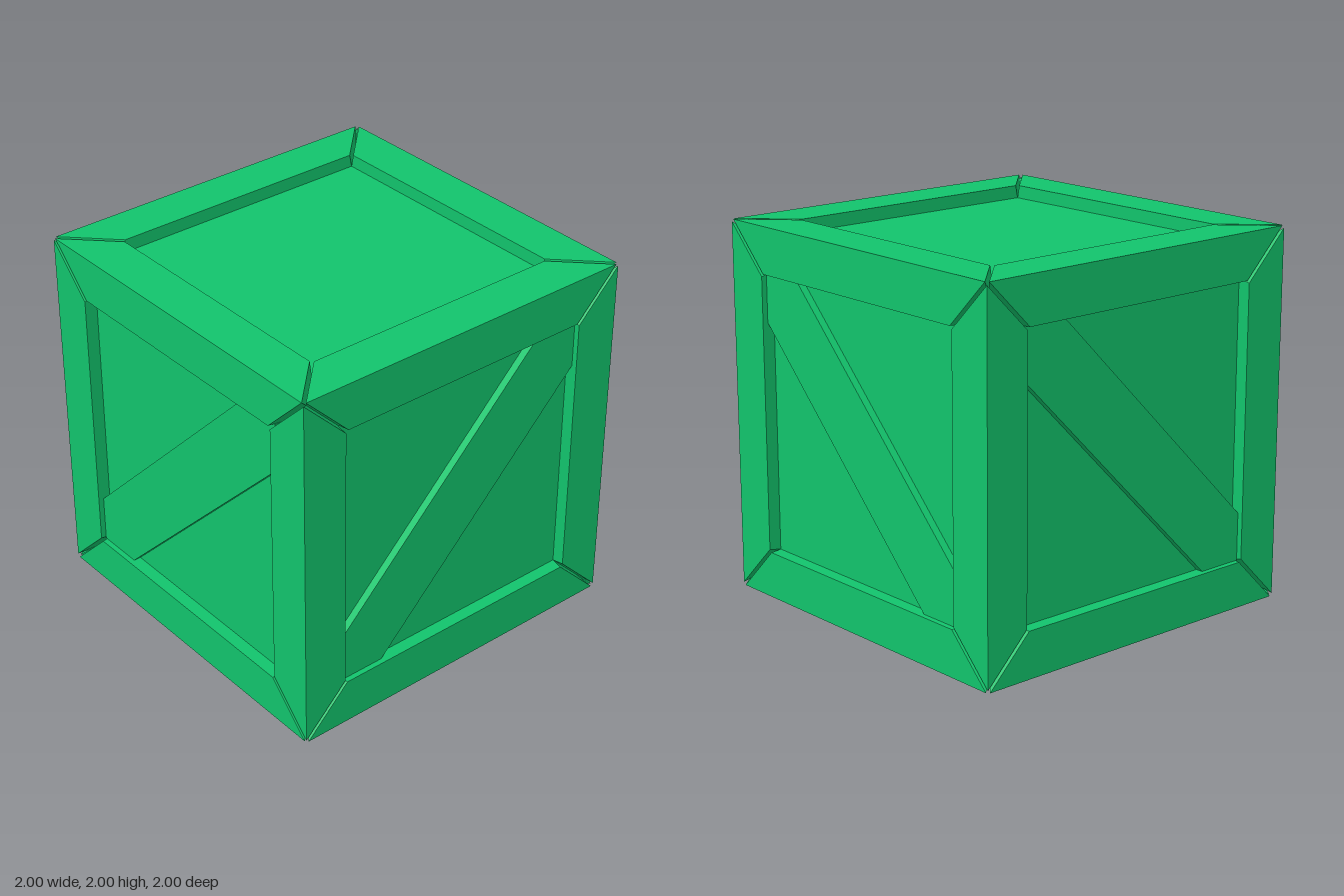
import * as THREE from 'three';

const HALF = 1;        // half the crate size
const RIM = 0.75;      // inner edge of the frame
const DEPTH = 0.07;    // frame height above the panels
const BRACE = 0.04;    // brace thickness
const GAP = 0.014;     // half width of the mitre grooves

// Mitred frame plank along the top edge of a face that looks towards +z
function plankGeometry() {
  const geo = new THREE.BoxGeometry(2, 2, 2);
  const p = geo.attributes.position;
  for (let i = 0; i < p.count; i++) {
    const top = p.getZ(i) > 0;
    const z = top ? HALF : HALF - DEPTH;
    const y = p.getY(i) > 0 ? z : RIM;
    const x = top ? y - GAP : y; // ends lean back to leave a V groove
    p.setXYZ(i, Math.sign(p.getX(i)) * x, y, z);
  }
  geo.computeVertexNormals();
  return geo;
}

// Diagonal board from corner to corner, cut off at the frame
function braceGeometry() {
  const a = RIM, b = RIM - 0.26;
  const pts = [[-a, -a], [-b, -a], [a, b], [a, a], [b, a], [-a, -b]];
  const shape = new THREE.Shape(pts.map(([x, y]) => new THREE.Vector2(x, y)));
  const geo = new THREE.ExtrudeGeometry(shape, { depth: BRACE, bevelEnabled: false });
  geo.translate(0, 0, HALF - DEPTH);
  return geo;
}

export function createModel() {
  const crate = new THREE.Group();
  crate.name = 'crate';
  const material = new THREE.MeshStandardMaterial({ color: 0x12c46c });
  const plankGeo = plankGeometry();
  const braceGeo = braceGeometry();

  // Inner box whose sides are the recessed panels
  const core = 2 * (HALF - DEPTH);
  const panels = new THREE.Mesh(new THREE.BoxGeometry(core, core, core), material);
  panels.name = 'panels';
  panels.position.y = HALF;
  crate.add(panels);

  // brace: quarter turns of the diagonal, or null for none
  const faces = [
    { name: 'front', rot: [0, 0], brace: 0 },
    { name: 'left', rot: [0, Math.PI / 2], brace: 1 },
    { name: 'back', rot: [0, Math.PI], brace: 1 },
    { name: 'right', rot: [0, -Math.PI / 2], brace: 0 },
    { name: 'top', rot: [-Math.PI / 2, 0], brace: null },
    { name: 'bottom', rot: [Math.PI / 2, 0], brace: null },
  ];

  for (const { name, rot, brace } of faces) {
    const side = new THREE.Group();
    side.name = name + 'Side';
    side.position.y = HALF;
    side.rotation.set(rot[0], rot[1], 0);

    // Four frame planks
    for (let k = 0; k < 4; k++) {
      const plank = new THREE.Mesh(plankGeo, material);
      plank.name = 'framePlank';
      plank.rotation.z = k * Math.PI / 2;
      side.add(plank);
    }

    // Diagonal brace
    if (brace !== null) {
      const board = new THREE.Mesh(braceGeo, material);
      board.name = 'diagonalBrace';
      board.rotation.z = brace * Math.PI / 2;
      side.add(board);
    }
    crate.add(side);
  }
  return crate;
}
